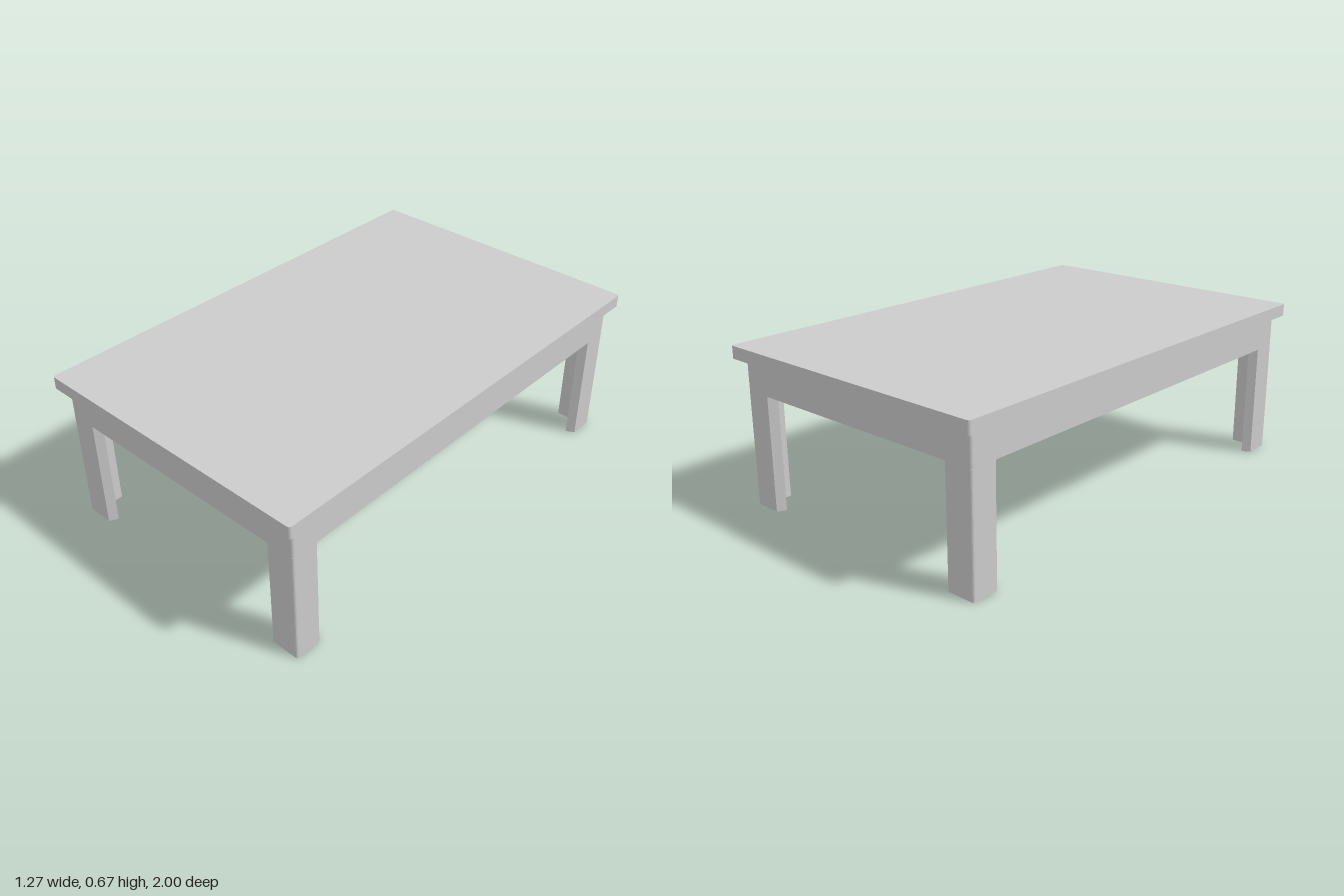
import * as THREE from 'three';

const material = new THREE.MeshStandardMaterial({ color: 0xcccccc });
const TOP = { x: 0.637, z: 1.0, y0: 0.615, y1: 0.667 };
const FRAME = { x: 0.604, z: 0.96, y0: 0.482 };
const THICK = 0.035; // board thickness of apron and legs
const ROUND = 0.012; // rounding of vertical corners

// Extrudes a plan shape upward from y0 to y1.
function slab(name, shape, y0, y1) {
  const geometry = new THREE.ExtrudeGeometry(shape, { depth: y1 - y0, bevelEnabled: false, curveSegments: 4 });
  geometry.rotateX(-Math.PI / 2).translate(0, y0, 0);
  const mesh = new THREE.Mesh(geometry, material);
  mesh.name = name;
  return mesh;
}

// Rectangle with rounded corners, half sizes hx and hz.
function roundedRect(hx, hz, r) {
  const s = new THREE.Shape();
  [[1, 1], [-1, 1], [-1, -1], [1, -1]].forEach(([sx, sz], i) => {
    s.absarc(sx * (hx - r), sz * (hz - r), r, i * Math.PI / 2, (i + 1) * Math.PI / 2, false);
  });
  s.closePath();
  return s;
}

// L-shaped leg section for one corner, its free ends cut at a slant.
function legSection(sx, sz) {
  const { x, z } = FRAME;
  const xo = 0.484, xi = 0.465; // end of the front board, outside and inside
  const zo = 0.846, zi = 0.828; // end of the side board, outside and inside
  const s = new THREE.Shape();
  s.moveTo(sx * xo, sz * z);
  s.lineTo(sx * (x - ROUND), sz * z);
  s.quadraticCurveTo(sx * x, sz * z, sx * x, sz * (z - ROUND));
  s.lineTo(sx * x, sz * zo);
  s.lineTo(sx * (x - THICK), sz * zi);
  s.lineTo(sx * (x - THICK), sz * (z - THICK));
  s.lineTo(sx * xi, sz * (z - THICK));
  s.closePath();
  return s;
}

export function createModel() {
  const table = new THREE.Group();
  table.name = 'table';

  // Table top
  table.add(slab('tableTop', roundedRect(TOP.x, TOP.z, ROUND), TOP.y0, TOP.y1));

  // Apron: a hollow frame below the top
  const apron = roundedRect(FRAME.x, FRAME.z, ROUND);
  const ix = FRAME.x - THICK, iz = FRAME.z - THICK;
  apron.holes.push(new THREE.Path([
    new THREE.Vector2(-ix, -iz), new THREE.Vector2(-ix, iz),
    new THREE.Vector2(ix, iz), new THREE.Vector2(ix, -iz),
  ]));
  table.add(slab('apron', apron, FRAME.y0, TOP.y0));

  // Four corner legs (plan y points to the back)
  for (const sx of [-1, 1]) {
    for (const sz of [-1, 1]) {
      const name = (sz < 0 ? 'front' : 'back') + (sx > 0 ? 'Left' : 'Right') + 'Leg';
      table.add(slab(name, legSection(sx, sz), 0, FRAME.y0));
    }
  }
  return table;
}
